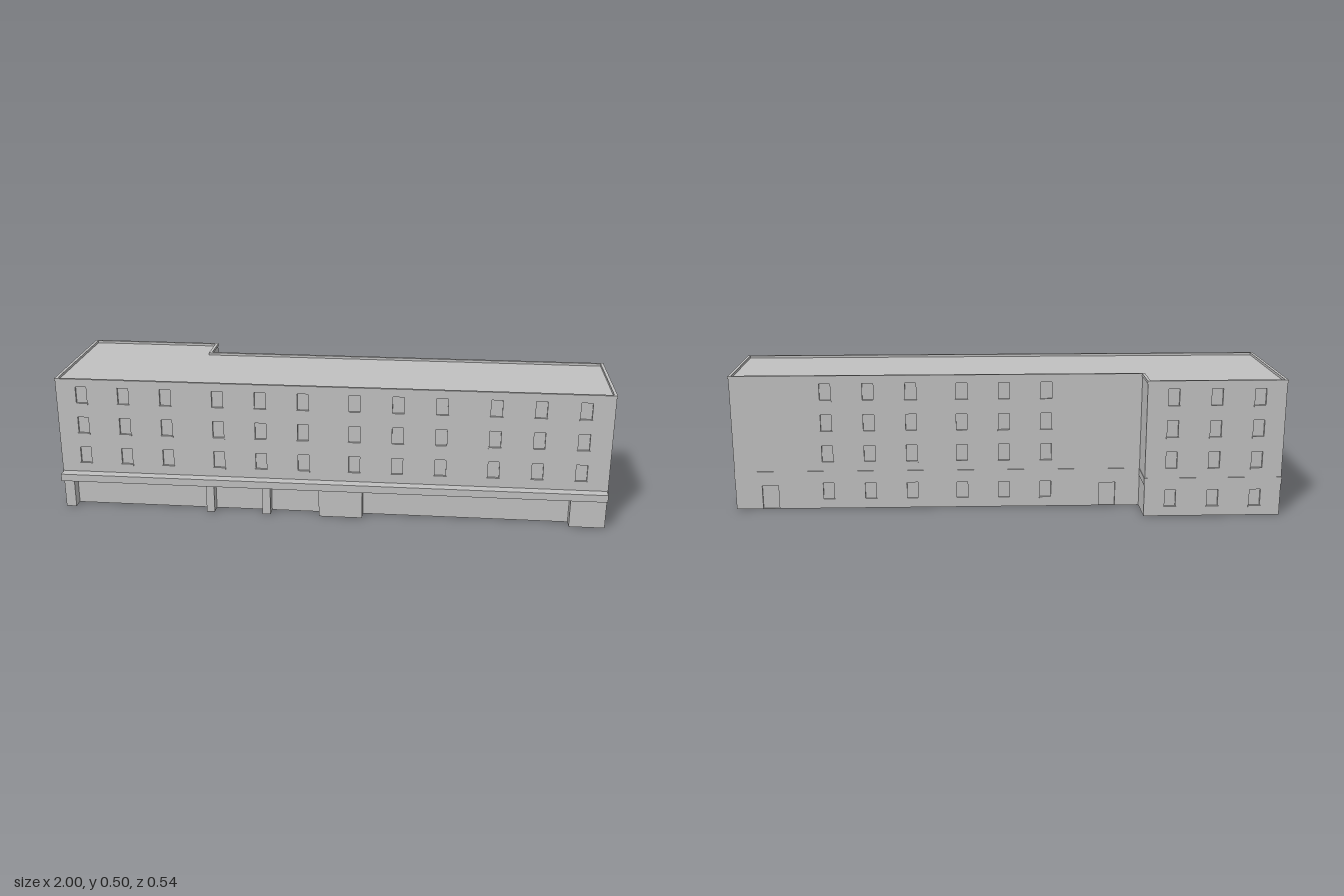
import * as THREE from 'three';

const X = 0.998, FRONT = 0.235, BACK = -0.145, WING_BACK = -0.268, WING_X = -0.5;
const TOP = 0.505, BAND_LOW = 0.118, BAND_HIGH = 0.145, RECESS_Z = 0.195;
const WIN_W = 0.04, WIN_H = 0.062, DEPTH = 0.008;
const FLOORS = [0.18, 0.297, 0.413], GROUND_SILL = 0.036;

export function createModel() {
  const model = new THREE.Group();
  model.name = 'building';
  const stone = new THREE.MeshStandardMaterial({ color: 0xc0c0c0, side: THREE.DoubleSide });
  stone.name = 'grey stone';

  const add = (parent, name, geometry, x = 0, y = 0, z = 0) => {
    const mesh = new THREE.Mesh(geometry, stone);
    mesh.name = name;
    mesh.position.set(x, y, z);
    parent.add(mesh);
    return mesh;
  };

  // L-shaped footprint grown outward by o, drawn with -z as the shape's y
  const outline = (o) => [
    [-X - o, FRONT + o], [X + o, FRONT + o], [X + o, BACK - o],
    [WING_X + o, BACK - o], [WING_X + o, WING_BACK - o], [-X - o, WING_BACK - o],
  ].map(([x, z]) => new THREE.Vector2(x, -z));

  // Horizontal ring following the footprint
  const ring = (name, outer, inner, y0, y1) => {
    const shape = new THREE.Shape(outline(outer));
    shape.holes.push(new THREE.Path(outline(inner)));
    const geometry = new THREE.ExtrudeGeometry(shape, { depth: y1 - y0, bevelEnabled: false });
    add(model, name, geometry.rotateX(-Math.PI / 2), 0, y0, 0);
  };

  // Box without its front face, used as a recess in a wall
  const recess = (w, h, d) => {
    const geometry = new THREE.BoxGeometry(w, h, d);
    const index = Array.from(geometry.index.array);
    index.splice(24, 6);
    geometry.clearGroups();
    geometry.setIndex(index);
    return geometry;
  };

  // Wall from point a to point b, outside on the right; openings are [centre, bottom, width, height]
  const wall = (name, a, b, y0, openings) => {
    const group = new THREE.Group();
    group.name = name;
    const dx = b[0] - a[0], dz = b[1] - a[1], length = Math.hypot(dx, dz);
    group.position.set(a[0], 0, a[1]);
    group.rotation.y = Math.atan2(-dz, dx);
    model.add(group);
    const shape = new THREE.Shape();
    shape.moveTo(0, y0).lineTo(length, y0).lineTo(length, TOP).lineTo(0, TOP).closePath();
    for (const [c, y, w, h] of openings) {
      const hole = new THREE.Path();
      const base = Math.max(y, y0 + 0.001);
      hole.moveTo(c - w / 2, base).lineTo(c - w / 2, y + h);
      hole.lineTo(c + w / 2, y + h).lineTo(c + w / 2, base).closePath();
      shape.holes.push(hole);
      const isDoor = y < 0.02;
      add(group, isDoor ? 'door' : 'window', recess(w, h, DEPTH), c, y + h / 2, -DEPTH / 2);
      if (!isDoor) add(group, 'windowSill', new THREE.BoxGeometry(0.046, 0.006, 0.006), c, y - 0.002, 0.0005);
    }
    add(group, 'wallFace', new THREE.ShapeGeometry(shape));
  };
  const windows = (centres, rows) => rows.flatMap((y) => centres.map((c) => [c, y, WIN_W, WIN_H]));

  // Front: four groups of three bays over the shopfronts
  const frontX = [-0.75, -0.25, 0.245, 0.745].flatMap((c) => [c - 0.155, c, c + 0.155]);
  wall('frontWall', [-X, FRONT], [X, FRONT], BAND_LOW, windows(frontX.map((x) => x + X), FLOORS));

  // Left end, rear, wing return, wing rear and right end
  wall('leftEndWall', [X, FRONT], [X, BACK], 0,
    windows([0.162, 0.049, -0.087].map((z) => FRONT - z), FLOORS));
  const rearX = [0.655, 0.5, 0.345, 0.16, 0.005, -0.15];
  const doors = [0.87, -0.38].map((x) => [X - x, 0, 0.06, 0.09]);
  wall('rearWall', [X, BACK], [WING_X, BACK], 0,
    [...windows(rearX.map((x) => X - x), [GROUND_SILL, ...FLOORS]), ...doors]);
  wall('wingReturnWall', [WING_X, BACK], [WING_X, WING_BACK], 0, []);
  wall('wingRearWall', [WING_X, WING_BACK], [-X, WING_BACK], 0,
    windows([-0.595, -0.75, -0.905].map((x) => WING_X - x), [GROUND_SILL, ...FLOORS]));
  wall('rightEndWall', [-X, WING_BACK], [-X, FRONT], 0,
    windows([-0.2, -0.08, 0.042, 0.162].map((z) => z - WING_BACK), FLOORS));

  // Ground floor front: piers with recessed shopfronts between them
  const piers = [[-X, -0.96], [-0.46, -0.43], [-0.25, -0.22], [-0.04, 0.12], [0.87, X]];
  const depth = FRONT - RECESS_Z;
  piers.forEach(([x0, x1], i) => {
    add(model, 'pierFace', new THREE.PlaneGeometry(x1 - x0, BAND_LOW), (x0 + x1) / 2, BAND_LOW / 2, FRONT);
    const sides = [i > 0 && x0, i < piers.length - 1 && x1].filter((x) => x !== false);
    for (const x of sides) {
      const side = new THREE.PlaneGeometry(depth, BAND_LOW).rotateY(x === x1 ? Math.PI / 2 : -Math.PI / 2);
      add(model, 'pierSide', side, x, BAND_LOW / 2, FRONT - depth / 2);
    }
    if (i === piers.length - 1) return;
    const next = piers[i + 1][0], w = next - x1, mid = (next + x1) / 2;
    add(model, 'shopfront', new THREE.PlaneGeometry(w, BAND_LOW), mid, BAND_LOW / 2, RECESS_Z);
    add(model, 'shopfrontSoffit', new THREE.PlaneGeometry(w, depth).rotateX(Math.PI / 2),
      mid, BAND_LOW, FRONT - depth / 2);
  });

  // Canopy along the front and the string course around the building
  add(model, 'canopy', new THREE.BoxGeometry(1.99, BAND_HIGH - BAND_LOW, 0.037),
    0, (BAND_LOW + BAND_HIGH) / 2, FRONT + 0.0185);
  ring('stringCourse', 0.002, -0.001, BAND_LOW, BAND_HIGH);

  // Roof deck sunk behind a thin parapet
  ring('parapet', 0.002, -0.009, 0.495, TOP);
  const deck = new THREE.ShapeGeometry(new THREE.Shape(outline(-0.001))).rotateX(-Math.PI / 2);
  add(model, 'roofDeck', deck, 0, 0.496, 0);

  return model;
}
